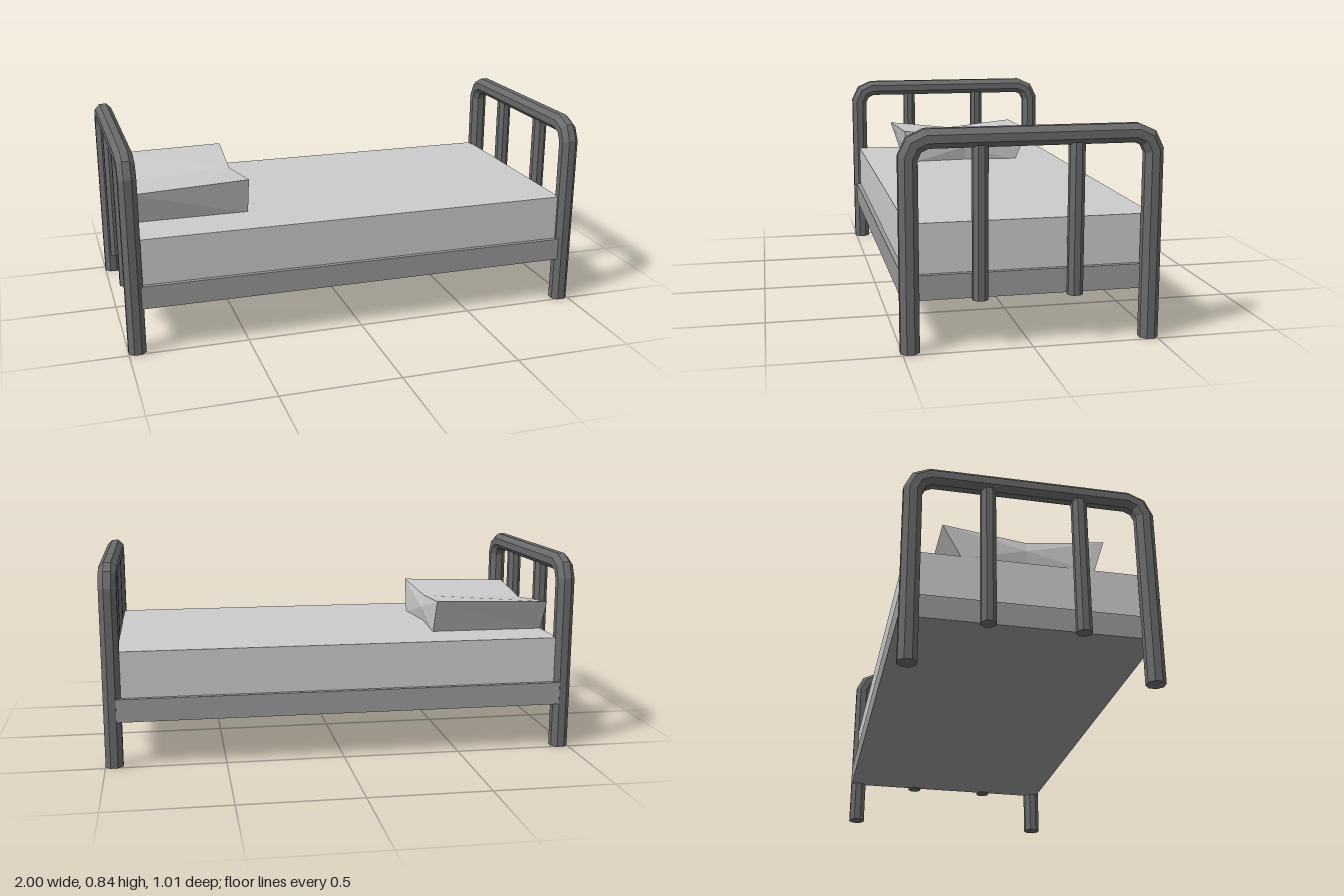
import * as THREE from 'three';

const material = (color) => new THREE.MeshStandardMaterial({ color, flatShading: true });

// Skin a row of rings (counter-clockwise about the direction of travel) and cap both ends
function loft(rings) {
  const n = rings[0].length;
  const last = rings.length - 1;
  const out = [];
  const tri = (...points) => points.forEach((p) => out.push(p.x, p.y, p.z));
  const centre = (ring) => ring.reduce((s, p) => s.add(p), new THREE.Vector3()).divideScalar(n);
  const start = centre(rings[0]);
  const end = centre(rings[last]);
  for (let j = 0; j < n; j++) {
    const k = (j + 1) % n;
    for (let i = 0; i < last; i++) {
      const [a, b] = [rings[i], rings[i + 1]];
      tri(a[j], a[k], b[k]);
      tri(a[j], b[k], b[j]);
    }
    tri(start, rings[0][k], rings[0][j]);
    tri(end, rings[last][j], rings[last][k]);
  }
  const geometry = new THREE.BufferGeometry();
  geometry.setAttribute('position', new THREE.Float32BufferAttribute(out, 3));
  geometry.computeVertexNormals();
  return geometry;
}

// Octagonal tube bent in the z-y plane, mitred at each bend
function bentTube(path, radius) {
  const dirs = path.slice(1).map((p, i) => p.clone().sub(path[i]).normalize());
  const rings = path.map((p, i) => {
    const before = dirs[Math.max(i - 1, 0)];
    const after = dirs[Math.min(i, dirs.length - 1)];
    const d = before.clone().add(after).normalize();
    const mitre = radius / d.dot(after);
    return Array.from({ length: 8 }, (_, j) => {
      const a = ((j + 0.5) * Math.PI) / 4;
      const across = Math.cos(a) * mitre;
      return new THREE.Vector3(Math.sin(a) * radius, p.y - d.x * across, p.x + d.y * across);
    });
  });
  return loft(rings);
}

export function createModel() {
  const bed = new THREE.Group();
  bed.name = 'bed';
  const metal = material(0x6a6a6a);
  const wood = material(0x999999);
  const cloth = material(0xcccccc);

  const add = (parent, name, geometry, mat, x = 0, y = 0, z = 0) => {
    const mesh = new THREE.Mesh(geometry, mat);
    mesh.name = name;
    mesh.position.set(x, y, z);
    parent.add(mesh);
  };

  // Headboard and footboard: a bent tube with two upright bars
  const half = [[0.47, 0], [0.47, 0.74], [0.447, 0.787], [0.4, 0.808]];
  const path = [...half, ...half.map(([z, y]) => [-z, y]).reverse()]
    .map(([z, y]) => new THREE.Vector2(z, y));
  const hoop = bentTube(path, 0.0395);
  const bar = new THREE.CylinderGeometry(0.032, 0.032, 0.59, 8);
  bar.rotateY(Math.PI / 8);
  for (const [name, x] of [['headboard', -0.9635], ['footboard', 0.9635]]) {
    const board = new THREE.Group();
    board.name = name;
    board.position.x = x;
    add(board, 'hoop', hoop, metal);
    for (const z of [0.2, -0.17]) add(board, 'bar', bar, metal, 0, 0.485, z);
    bed.add(board);
  }

  // Base and mattress
  add(bed, 'base', new THREE.BoxGeometry(1.91, 0.097, 1.0), wood, 0, 0.2435, -0.006);
  add(bed, 'mattress', new THREE.BoxGeometry(1.87, 0.197, 0.96), cloth, 0, 0.3885, -0.005);

  // Pillow: flared sides, sagging middle, slightly lower at the head end
  const pillowEnd = (xCorner, xMiddle, drop, flare) => [
    [xMiddle, 0.607 - drop, -0.01],
    [xCorner, 0.64 - drop, 0.295 + flare],
    [xCorner, 0.48, 0.26],
    [xMiddle, 0.48, -0.01],
    [xCorner, 0.48, -0.268],
    [xCorner, 0.632 - drop * 0.6, -0.335 - flare],
  ].map((p) => new THREE.Vector3(...p));
  add(bed, 'pillow', loft([
    pillowEnd(-0.935, -0.92, 0.018, 0.01),
    pillowEnd(-0.438, -0.46, 0, 0),
  ]), cloth);

  return bed;
}
